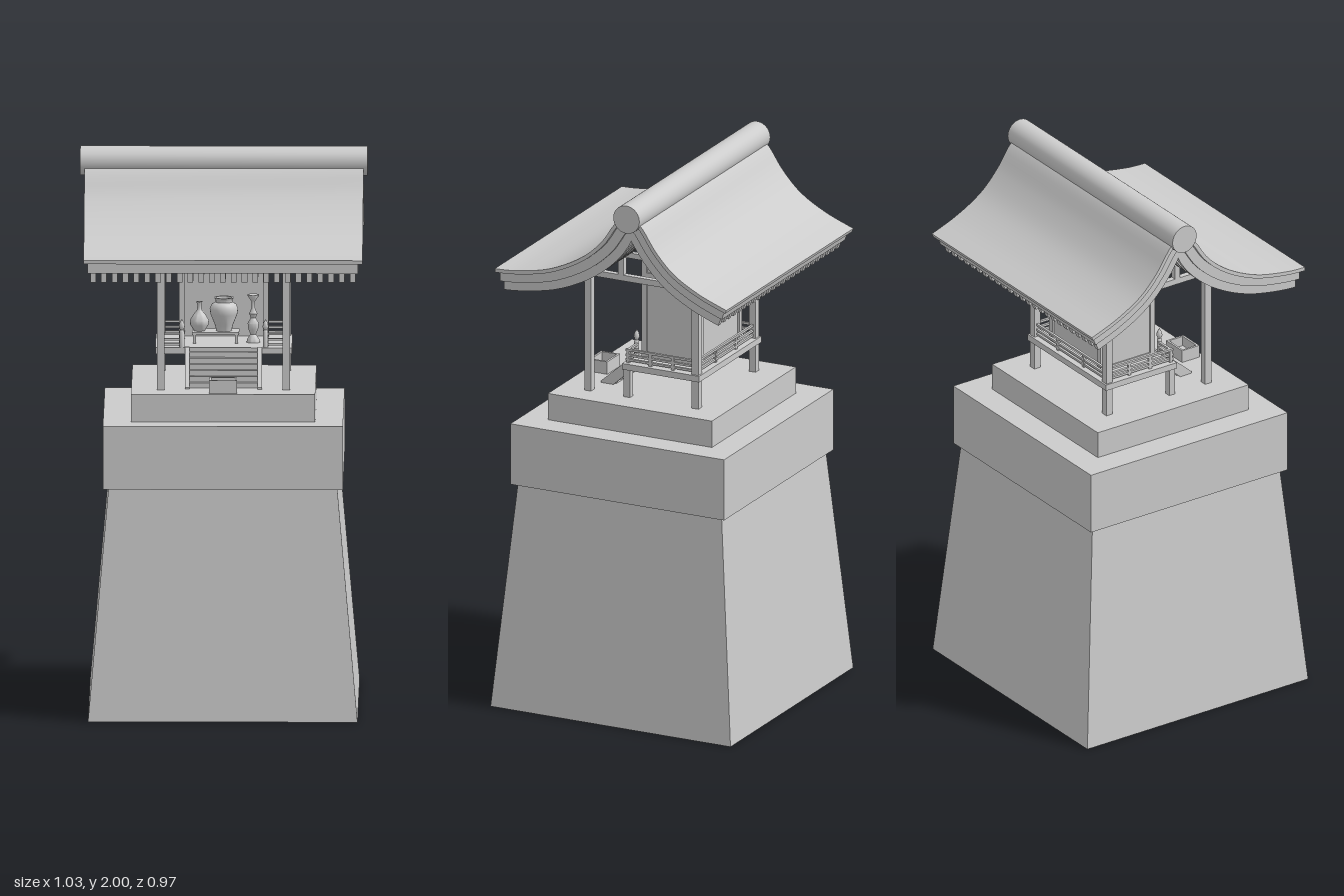
import * as THREE from 'three';
import { toCreasedNormals } from 'three/addons/utils/BufferGeometryUtils.js';

const mat = new THREE.MeshStandardMaterial({ color: 0xcccccc });
const RIDGE_Z = -0.08;

export function createModel() {
  const root = new THREE.Group();
  const group = (name) => {
    const g = new THREE.Group();
    g.name = name;
    root.add(g);
    return g;
  };
  const add = (parent, name, geo) => {
    const m = new THREE.Mesh(geo, mat);
    m.name = name;
    parent.add(m);
    return m;
  };
  // Box given by its limits on each axis
  const box = (parent, name, x0, x1, y0, y1, z0, z1) => {
    const m = add(parent, name, new THREE.BoxGeometry(x1 - x0, y1 - y0, z1 - z0));
    m.position.set((x0 + x1) / 2, (y0 + y1) / 2, (z0 + z1) / 2);
    return m;
  };
  const post = (parent, name, x, z, y0, y1, w) =>
    box(parent, name, x - w / 2, x + w / 2, y0, y1, z - w / 2, z + w / 2);
  // Side profile in (z, y), extruded across x
  const across = (pts, x0, x1) => {
    const shape = new THREE.Shape(pts.map(([z, y]) => new THREE.Vector2(z, y)));
    const geo = new THREE.ExtrudeGeometry(shape, { depth: x1 - x0, bevelEnabled: false });
    return geo.rotateY(-Math.PI / 2).translate(x1, 0, 0);
  };
  const lathe = (parent, name, x, y, z, pts) => {
    const v = pts.map(([r, h]) => new THREE.Vector2(r, h));
    const m = add(parent, name, toCreasedNormals(new THREE.LatheGeometry(v, 24), 0.7));
    m.position.set(x, y, z);
  };

  // Stone plinth
  const plinth = group('plinth');
  const taper = new THREE.CylinderGeometry(0.41 * Math.SQRT2, 0.483 * Math.SQRT2, 0.835, 4, 1);
  add(plinth, 'taperedBase', taper.rotateY(Math.PI / 4).toNonIndexed().translate(0, 0.4175, 0))
    .geometry.computeVertexNormals();
  box(plinth, 'plinthCap', -0.43, 0.43, 0.835, 1.065, -0.43, 0.43);
  box(plinth, 'upperStep', -0.33, 0.33, 1.065, 1.165, -0.33, 0.33);

  // Roof: layers that follow the two curved slopes
  const roof = group('roof');
  const slopes = [
    { s: 1, pts: [[-0.08, 1.965], [-0.026, 1.92], [0.032, 1.836], [0.12, 1.762], [0.243, 1.704], [0.376, 1.677], [0.457, 1.672]] },
    { s: -1, pts: [[-0.08, 1.965], [-0.134, 1.92], [-0.192, 1.836], [-0.265, 1.762], [-0.365, 1.704], [-0.475, 1.661]] },
  ].map(({ s, pts }) => ({ s, curve: new THREE.SplineCurve(pts.map(([z, y]) => new THREE.Vector2(z, y))) }));
  const layer = ({ s, curve }, d0, d1, end, x0, x1) => {
    const at = (u, d) => {
      const p = curve.getPointAt(u), t = curve.getTangentAt(u);
      const z = p.x + s * t.y * d;
      return [s > 0 ? Math.max(z, RIDGE_Z) : Math.min(z, RIDGE_Z), p.y - s * t.x * d];
    };
    const us = Array.from({ length: 21 }, (_, i) => (i / 20) * end);
    const outline = [...us.map((u) => at(u, d0)), ...us.reverse().map((u) => at(u, d1))];
    return toCreasedNormals(across(outline, x0, x1), 0.5);
  };
  const RAFTERS = 25;
  for (const slope of slopes) {
    add(roof, 'roofSheet', layer(slope, 0, 0.014, 1, -0.5, 0.5));
    add(roof, 'roofBoard', layer(slope, 0.014, 0.05, 0.98, -0.485, 0.485));
    for (let i = 0; i < RAFTERS; i++) {
      const x = -0.465 + (0.93 * i) / (RAFTERS - 1);
      add(roof, 'rafter', layer(slope, 0.05, 0.084, 0.965, x - 0.01, x + 0.01));
    }
  }
  const ridge = add(roof, 'ridgeRoll', new THREE.CylinderGeometry(0.0525, 0.0525, 1.03, 40));
  ridge.rotation.z = Math.PI / 2;
  ridge.position.set(0, 1.9475, RIDGE_Z);

  // Timber frame
  const frame = group('timberFrame');
  for (const s of [-1, 1]) {
    const x = s * 0.225;
    post(frame, 'frontPillar', x, 0.217, 1.165, 1.625, 0.027);
    post(frame, 'rearPillar', x, -0.215, 1.165, 1.7, 0.027);
    post(frame, 'deckPost', x, 0.06, 1.165, 1.275, 0.025);
    box(frame, 'tieBeam', x - 0.011, x + 0.011, 1.603, 1.625, -0.232, 0.232);
    box(frame, 'upperTie', x - 0.01, x + 0.01, 1.693, 1.713, -0.21, 0.09);
    post(frame, 'kingPost', x, RIDGE_Z, 1.625, 1.83, 0.026);
    post(frame, 'strut', x, 0.085, 1.62, 1.7, 0.022);
    for (const z of [0.03, -0.19]) post(frame, 'bodyPost', s * 0.15, z, 1.29, 1.71, 0.02);
  }
  box(frame, 'ridgeBeam', -0.4, 0.4, 1.8, 1.83, RIDGE_Z - 0.014, RIDGE_Z + 0.014);
  for (const [z, y] of [[0.217, 1.6], [0.085, 1.69], [-0.215, 1.685]])
    box(frame, 'purlin', -0.245, 0.245, y, y + 0.024, z - 0.011, z + 0.011);

  // Open-fronted chamber with framed wall panels
  const chamber = group('chamber');
  for (const s of [-1, 1]) {
    const x = s * 0.15;
    box(chamber, 'sideWall', x - 0.004, x + 0.004, 1.29, 1.71, -0.185, 0.025);
    for (const y of [1.295, 1.6, 1.695])
      box(chamber, 'sideRail', x - 0.009, x + 0.009, y, y + 0.018, -0.19, 0.03);
    post(chamber, 'gableStud', x, RIDGE_Z, 1.6, 1.8, 0.018);
  }
  box(chamber, 'backWall', -0.15, 0.15, 1.29, 1.71, -0.192, -0.184);
  for (const y of [1.295, 1.6, 1.695])
    box(chamber, 'backRail', -0.15, 0.15, y, y + 0.018, -0.199, -0.181);
  box(chamber, 'lintel', -0.15, 0.15, 1.605, 1.63, 0.02, 0.04);

  // Deck and railing, open at the stairs
  const deck = group('deck');
  box(deck, 'deckFloor', -0.245, 0.245, 1.27, 1.293, -0.235, 0.075);
  for (const y of [1.3, 1.317, 1.337]) {
    const h = 0.008;
    box(deck, 'rearRail', -0.235, 0.235, y, y + h, -0.22, -0.211);
    for (const s of [-1, 1]) {
      const x = s * 0.225;
      box(deck, 'sideRail', x - 0.005, x + 0.005, y, y + h, -0.225, 0.07);
      box(deck, 'frontRail', s * 0.19 - 0.04, s * 0.19 + 0.04, y, y + h, 0.056, 0.065);
    }
  }
  for (const s of [-1, 1]) {
    for (const z of [0.06, -0.03, -0.12])
      post(deck, 'railPost', s * 0.225, z, 1.29, 1.338, 0.011);
    post(deck, 'rearRailPost', s * 0.08, -0.215, 1.29, 1.338, 0.011);
    lathe(deck, 'finialPost', s * 0.15, 1.29, 0.065,
      [[0, 0], [0.009, 0], [0.009, 0.06], [0.006, 0.066], [0.011, 0.078], [0.008, 0.092], [0, 0.106]]);
  }

  // Stairs between two sloping strings
  const stairs = group('stairs');
  const STEPS = 6;
  for (let i = 0; i < STEPS; i++) {
    const y = 1.165 + (0.115 * (i + 1)) / STEPS;
    const z = 0.19 - (0.12 * i) / STEPS;
    box(stairs, 'tread', -0.125, 0.125, y - 0.02, y, z - 0.03, z);
  }
  for (const s of [-1, 1])
    add(stairs, 'stairString', across([[0.215, 1.165], [0.215, 1.172], [0.075, 1.295], [0.065, 1.295], [0.065, 1.255], [0.165, 1.165]],
      s * 0.13 - 0.008, s * 0.13 + 0.008));

  // Open offering box
  const offering = group('offeringBox');
  box(offering, 'boxFloor', -0.05, 0.05, 1.165, 1.175, 0.235, 0.31);
  for (const s of [-1, 1]) {
    box(offering, 'boxEnd', s * 0.046 - 0.004, s * 0.046 + 0.004, 1.165, 1.212, 0.235, 0.31);
    const z = 0.2725 + s * 0.0335;
    box(offering, 'boxSide', -0.05, 0.05, 1.165, 1.212, z - 0.004, z + 0.004);
  }

  // Table and vessels
  const altar = group('altar');
  box(altar, 'tableTop', -0.115, 0.055, 1.326, 1.335, -0.09, -0.01);
  for (const x of [-0.105, 0.045]) for (const z of [-0.08, -0.02])
    post(altar, 'tableLeg', x, z, 1.29, 1.328, 0.01);
  lathe(altar, 'jar', 0, 1.335, -0.05,
    [[0, 0], [0.028, 0], [0.032, 0.02], [0.048, 0.06], [0.051, 0.08], [0.044, 0.096], [0.03, 0.104], [0.03, 0.112], [0.036, 0.121], [0.028, 0.121], [0.026, 0.1], [0, 0.1]]);
  lathe(altar, 'bottle', -0.088, 1.335, -0.05,
    [[0, 0], [0.02, 0], [0.033, 0.022], [0.034, 0.038], [0.022, 0.058], [0.009, 0.074], [0.007, 0.092], [0.011, 0.106], [0, 0.1]]);
  lathe(altar, 'candlestick', 0.105, 1.292, -0.05,
    [[0, 0], [0.024, 0], [0.022, 0.012], [0.01, 0.03], [0.018, 0.05], [0.02, 0.07], [0.009, 0.09], [0.015, 0.105], [0.006, 0.125], [0.007, 0.15], [0.021, 0.17], [0.021, 0.174], [0, 0.17]]);

  return root;
}
